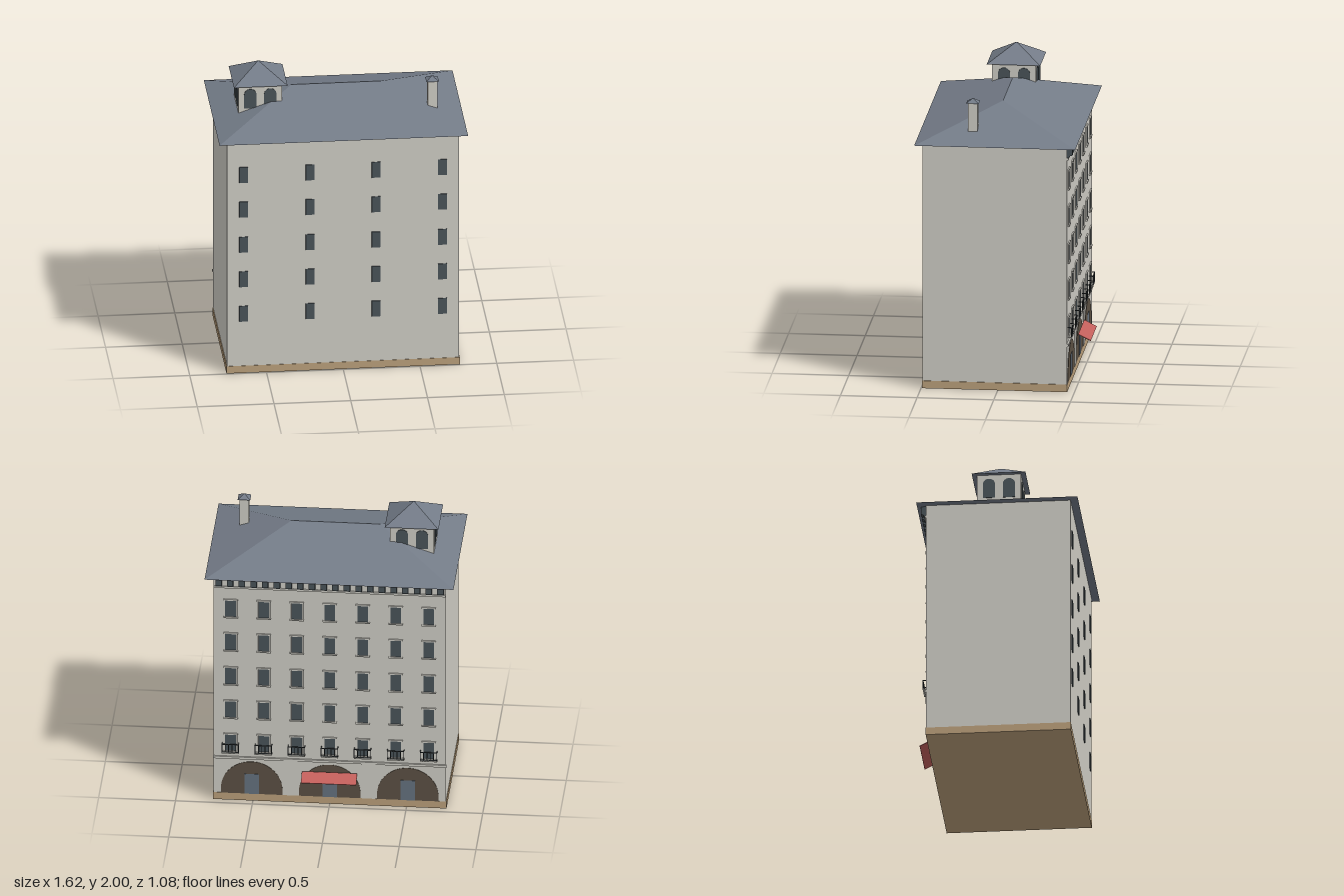
import * as THREE from 'three';

const mat = (name, color, side = THREE.FrontSide) => {
  const m = new THREE.MeshStandardMaterial({ color, side });
  m.name = name;
  return m;
};

// Closed hip roof: eave rectangle, ridge along x (ridge 0 gives a pyramid)
function hipRoof(hw, hd, ridge, h) {
  const A = [-hw, 0, hd], B = [hw, 0, hd], C = [hw, 0, -hd], D = [-hw, 0, -hd];
  const L = [-ridge, h, 0], R = [ridge, h, 0];
  const tris = [A, B, R, B, C, R, C, D, L, D, A, L, A, D, C, A, C, B];
  if (ridge > 0) tris.push(A, R, L, C, L, R);
  const g = new THREE.BufferGeometry();
  g.setAttribute('position', new THREE.Float32BufferAttribute(tris.flat(), 3));
  g.computeVertexNormals();
  return g;
}

// Round-headed thin plate standing on y = 0, facing +z
function archPlate(w, h, depth) {
  const r = w / 2, s = new THREE.Shape();
  s.moveTo(-r, 0);
  s.lineTo(r, 0);
  s.lineTo(r, h - r);
  s.absarc(0, h - r, r, 0, Math.PI, false);
  s.lineTo(-r, 0);
  return new THREE.ExtrudeGeometry(s, { depth, bevelEnabled: false, curveSegments: 16 });
}

export function createModel() {
  const wall = mat('wall plaster', 0xd0cec6);
  const stone = mat('base stone', 0xbca17c);
  const slate = mat('roof slate', 0x747c88);
  const glass = mat('dark glass', 0x4a5459);
  const iron = mat('iron', 0x363d40);
  const portal = mat('portal brown', 0x5c5144);
  const doorBlue = mat('door', 0x66727f);
  const red = mat('awning red', 0xc4605c, THREE.DoubleSide);

  const model = new THREE.Group();
  model.name = 'building';
  const add = (parent, name, geo, m, x, y, z) => {
    const mesh = new THREE.Mesh(geo, m);
    mesh.name = name;
    mesh.position.set(x, y, z);
    parent.add(mesh);
    return mesh;
  };
  const box = (parent, name, m, w, h, d, x, y, z) =>
    add(parent, name, new THREE.BoxGeometry(w, h, d), m, x, y, z);
  const group = (parent, name, x = 0, y = 0, z = 0) => {
    const g = new THREE.Group();
    g.name = name;
    g.position.set(x, y, z);
    parent.add(g);
    return g;
  };

  // Main block and roof
  box(model, 'base', stone, 1.52, 0.05, 0.945, 0, 0.025, 0.02);
  box(model, 'walls', wall, 1.51, 1.59, 0.94, 0, 0.845, 0.02);
  add(model, 'mainRoof', hipRoof(0.81, 0.525, 0.29, 0.18), slate, 0, 1.64, 0.015);

  // Plain elevation windows
  const rows = [0.42, 0.665, 0.91, 1.16, 1.405];
  for (const y of rows)
    for (const x of [-0.648, -0.215, 0.215, 0.648])
      box(model, 'window', glass, 0.058, 0.11, 0.008, x, y, 0.492);

  // Belvedere tower with paired arches on each side
  const tower = group(model, 'belvedere', -0.507, 0, 0.015);
  box(tower, 'belvedereWalls', wall, 0.285, 0.22, 0.285, 0, 1.78, 0);
  add(tower, 'belvedereRoof', hipRoof(0.175, 0.175, 0, 0.11), slate, 0, 1.89, 0);
  const towerArch = archPlate(0.08, 0.135, 0.006);
  for (let i = 0; i < 4; i++) {
    const face = group(tower, 'belvedereFace');
    face.rotation.y = i * Math.PI / 2;
    for (const x of [-0.065, 0.065])
      add(face, 'belvedereArch', towerArch, glass, x, 1.728, 0.14);
  }

  // Chimney
  const chimney = group(model, 'chimney', 0.61, 0, 0.177);
  box(chimney, 'chimneyStack', wall, 0.062, 0.19, 0.062, 0, 1.795, 0);
  add(chimney, 'chimneyCap', hipRoof(0.041, 0.041, 0, 0.027), slate, 0, 1.89, 0);

  // Street facade, built facing +z and turned to the back
  const facade = group(model, 'streetFacade', 0, 0, -0.45);
  facade.rotation.y = Math.PI;
  box(facade, 'stringCourse', wall, 1.52, 0.016, 0.014, 0, 0.312, 0.004);
  box(facade, 'corniceMoulding', wall, 1.51, 0.012, 0.012, 0, 1.562, 0.004);

  for (let col = -3; col <= 3; col++) {
    const x = col * 0.215;
    rows.forEach((y) => {
      const win = group(facade, 'facadeWindow', x, y, 0);
      box(win, 'pane', glass, 0.07, 0.12, 0.004, 0, 0, 0.001);
      for (const s of [-1, 1])
        box(win, 'jamb', wall, 0.008, 0.12, 0.01, s * 0.039, 0, 0.002);
      box(win, 'lintel', wall, 0.094, 0.009, 0.012, 0, 0.064, 0.003);
      box(win, 'sill', wall, 0.094, 0.009, 0.014, 0, -0.064, 0.004);
    });

    // Balcony on the lowest window row
    const balcony = group(facade, 'balcony', x, 0.355, 0);
    box(balcony, 'balconyFloor', wall, 0.112, 0.007, 0.027, 0, -0.002, 0.0135);
    box(balcony, 'frontRail', iron, 0.112, 0.006, 0.004, 0, 0.062, 0.025);
    box(balcony, 'bottomRail', iron, 0.112, 0.004, 0.004, 0, 0.006, 0.025);
    for (const s of [-1, 1])
      box(balcony, 'sideRail', iron, 0.004, 0.006, 0.025, s * 0.054, 0.062, 0.0125);
    for (let i = 0; i < 6; i++)
      box(balcony, 'baluster', iron, 0.005, 0.06, 0.004, -0.054 + i * 0.0216, 0.032, 0.025);
  }

  // Eave brackets, stepped in towards the wall
  const profile = new THREE.Shape([[0, 0], [0.012, 0], [0.02, 0.012], [0.036, 0.016], [0.036, 0.07], [0, 0.07]]
    .map(([a, b]) => new THREE.Vector2(a, b)));
  const bracketGeo = new THREE.ExtrudeGeometry(profile, { depth: 0.04, bevelEnabled: false });
  bracketGeo.rotateY(-Math.PI / 2).translate(0.02, 0, 0);
  for (let i = 0; i < 20; i++)
    add(facade, 'eaveBracket', bracketGeo, glass, -0.722 + i * 0.076, 1.569, 0);

  // Ground floor portals with doors
  const portalGeo = archPlate(0.4, 0.235, 0.004);
  for (const x of [-0.508, 0, 0.508]) {
    add(facade, 'portal', portalGeo, portal, x, 0.05, -0.001);
    box(facade, 'door', doorBlue, 0.095, 0.145, 0.006, x, 0.1225, 0.002);
  }
  for (const x of [-0.254, 0.254])
    box(facade, 'pilaster', wall, 0.09, 0.255, 0.008, x, 0.178, 0.001);

  // Awning over the middle portal
  const awning = box(facade, 'awning', red, 0.36, 0.004, 0.092, 0, 0.213, 0.053);
  awning.rotation.x = 0.47;

  return model;
}
